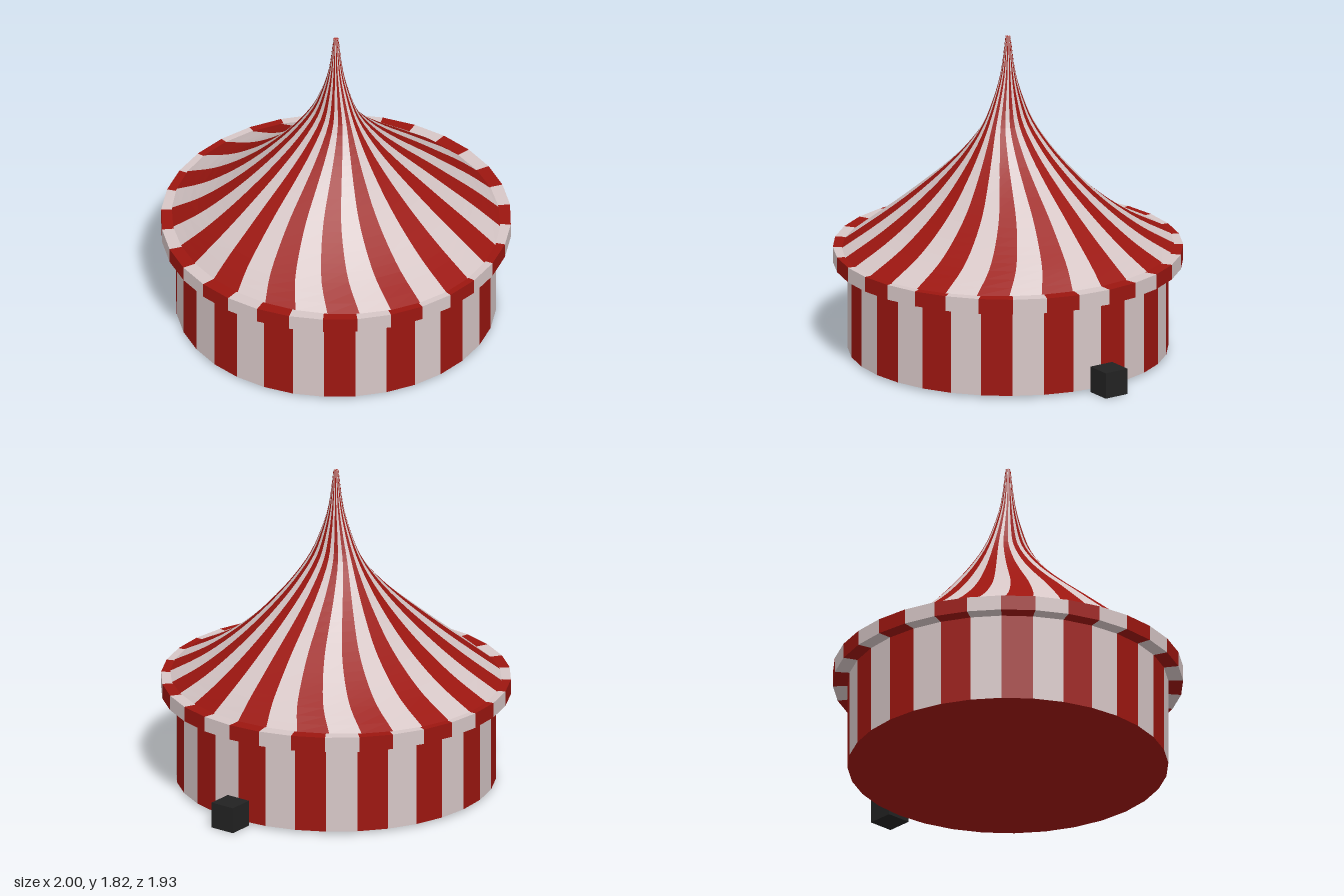
import * as THREE from 'three';

const SEGMENTS = 32;
const CENTRE_X = -0.035;

const red = new THREE.MeshStandardMaterial({ color: 0x9c1610, flatShading: true });
const white = new THREE.MeshStandardMaterial({ color: 0xd6c6c6, flatShading: true });
const black = new THREE.MeshStandardMaterial({ color: 0x222222, flatShading: true });

// Every second segment of a surface swept through elliptical rows [y, halfX, halfZ]
function stripeGeometry(rows, first) {
  const positions = [];
  const point = ([y, a, b], i) => {
    const t = (i / SEGMENTS) * Math.PI * 2;
    return [a * Math.sin(t), y, b * Math.cos(t)];
  };
  for (let i = first; i < SEGMENTS; i += 2) {
    for (let r = 0; r < rows.length - 1; r++) {
      const A = point(rows[r], i), B = point(rows[r], i + 1);
      const C = point(rows[r + 1], i + 1), D = point(rows[r + 1], i);
      positions.push(...A, ...B, ...C, ...A, ...C, ...D);
    }
  }
  const geometry = new THREE.BufferGeometry();
  geometry.setAttribute('position', new THREE.Float32BufferAttribute(positions, 3));
  geometry.computeVertexNormals();
  return geometry;
}

// A named part made of alternating red and white stripes
function stripedPart(name, rows) {
  const part = new THREE.Group();
  part.name = name;
  [red, white].forEach((material, first) => {
    const mesh = new THREE.Mesh(stripeGeometry(rows, first), material);
    mesh.name = name + (first === 0 ? 'RedStripes' : 'WhiteStripes');
    part.add(mesh);
  });
  return part;
}

export function createModel() {
  const model = new THREE.Group();
  model.name = 'stripedTent';
  const tent = new THREE.Group();
  tent.name = 'tent';
  tent.position.x = CENTRE_X;
  model.add(tent);

  // Upright wall
  tent.add(stripedPart('wall', [[0.015, 0.885, 0.885], [0.515, 0.885, 0.885]]));

  // Red floor closing the wall from below
  const floor = new THREE.Mesh(new THREE.CircleGeometry(0.885, SEGMENTS), red);
  floor.name = 'floor';
  floor.rotation.x = Math.PI / 2;
  floor.position.y = 0.015;
  tent.add(floor);

  // Overhanging valance, with underside and top ledge
  tent.add(stripedPart('valance', [
    [0.515, 0.88, 0.88], [0.515, 0.967, 0.967], [0.6, 0.967, 0.967], [0.6, 0.8, 0.8],
  ]));

  // Sweeping roof: its width and depth follow slightly different curves
  const profile = [
    [0.6, 0.89, 0.93], [0.7, 0.785, 0.74], [0.8, 0.665, 0.595], [0.92, 0.52, 0.455],
    [1.05, 0.36, 0.335], [1.18, 0.22, 0.235], [1.32, 0.11, 0.15], [1.45, 0.066, 0.093],
    [1.6, 0.036, 0.045], [1.815, 0.014, 0.014],
  ];
  const curve = new THREE.CatmullRomCurve3(profile.map(([y, a, b]) => new THREE.Vector3(a, y, b)));
  const roofRows = curve.getPoints(27).map((p) => [p.y, p.x, p.z]);
  roofRows.push([1.815, 0, 0]);
  tent.add(stripedPart('roof', roofRows));

  // Small dark box beside the wall
  const box = new THREE.Mesh(new THREE.BoxGeometry(0.147, 0.147, 0.147), black);
  box.name = 'sideBox';
  box.position.set(0.9265, 0.0735, 0);
  model.add(box);

  return model;
}
